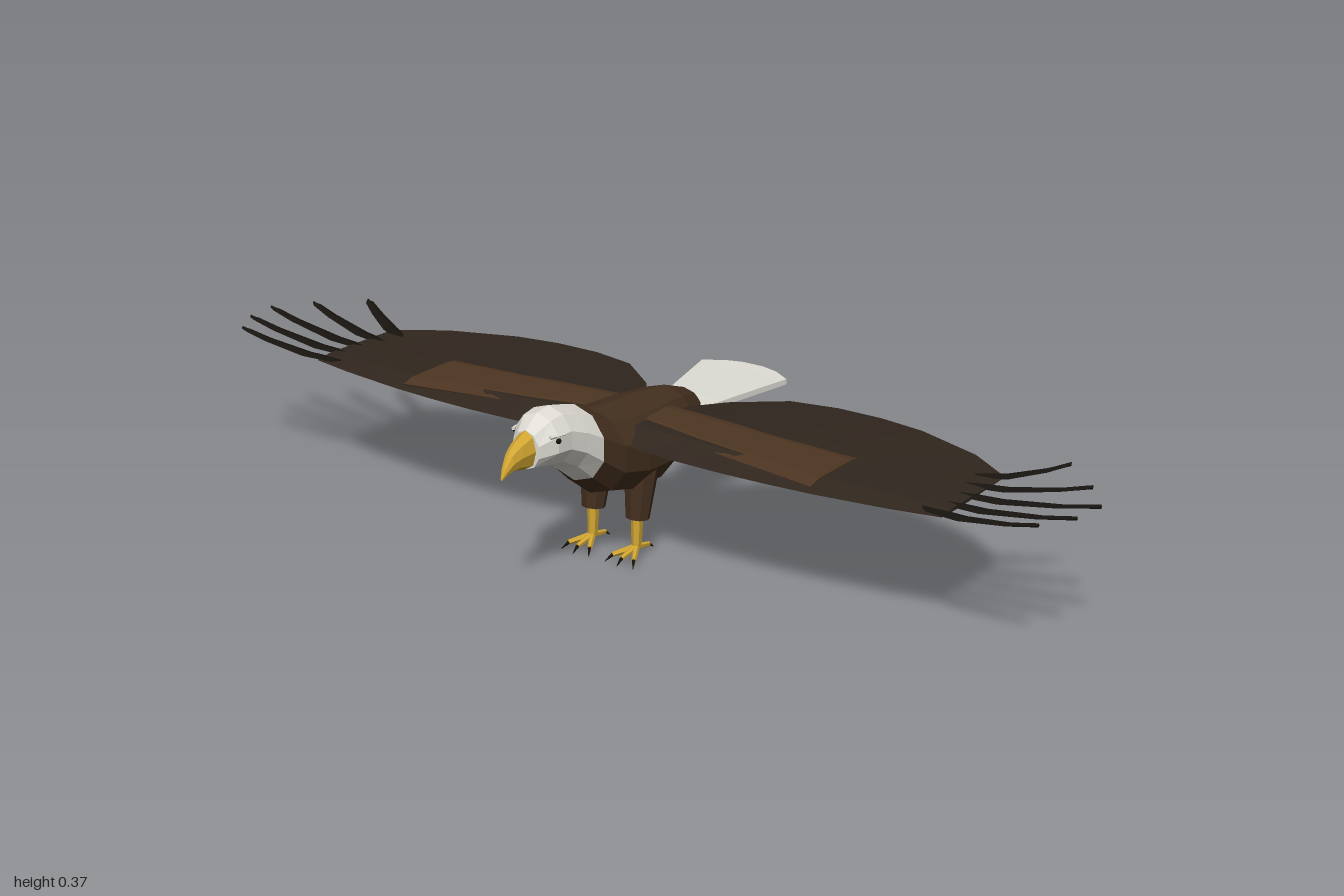
import * as THREE from 'three';

const V = (x, y, z) => new THREE.Vector3(x, y, z);
const paint = (color) => new THREE.MeshStandardMaterial({ color, flatShading: true });
const BROWN = paint(0x44301f), DARK = paint(0x30261e), COVERT = paint(0x4d3522), BLACK = paint(0x17130f);
const WHITE = paint(0xdedcd4), YELLOW = paint(0xd2a632);

// Skin a row of closed rings, cap both ends, and turn the faces outward
function loft(rings) {
  const tris = [];
  const n = rings[0].length;
  for (let i = 0; i < rings.length - 1; i++) {
    for (let j = 0; j < n; j++) {
      const k = (j + 1) % n;
      const a = rings[i][j], b = rings[i][k], c = rings[i + 1][k], d = rings[i + 1][j];
      tris.push([a, b, c], [a, c, d]);
    }
  }
  const last = rings[rings.length - 1];
  for (let j = 1; j < n - 1; j++) {
    tris.push([rings[0][0], rings[0][j + 1], rings[0][j]], [last[0], last[j], last[j + 1]]);
  }
  const o = rings[0][0];
  let volume = 0;
  for (const [a, b, c] of tris) {
    volume += a.clone().sub(o).dot(b.clone().sub(o).cross(c.clone().sub(o)));
  }
  const points = tris.flatMap(([a, b, c]) => (volume < 0 ? [a, c, b] : [a, b, c]));
  const geometry = new THREE.BufferGeometry().setFromPoints(points);
  geometry.computeVertexNormals();
  return geometry;
}

// Oval rings along z, from rows of [z, top, bottom, halfWidth]
function ovalLoft(rows, sides = 10) {
  return loft(rows.map(([z, top, bottom, w]) => Array.from({ length: sides }, (_, i) => {
    const a = (i / sides) * Math.PI * 2;
    return V(Math.sin(a) * w, (top + bottom) / 2 + Math.cos(a) * (top - bottom) / 2, z);
  })));
}

// Tapered rod between two points
function rod(a, b, r0, r1, sides = 6) {
  const dir = b.clone().sub(a);
  const g = new THREE.CylinderGeometry(r1, r0, dir.length(), sides);
  g.applyQuaternion(new THREE.Quaternion().setFromUnitVectors(V(0, 1, 0), dir.clone().normalize()));
  const mid = a.clone().add(b).multiplyScalar(0.5);
  return g.translate(mid.x, mid.y, mid.z);
}

function add(parent, name, geometry, material) {
  const mesh = new THREE.Mesh(geometry, material);
  mesh.name = name;
  parent.add(mesh);
  return mesh;
}

// Wing stations: [x, leading z, trailing z, top y, bottom y]
const STATIONS = [
  [0.04, 0.135, -0.1, 0.288, 0.242], [0.1, 0.14, -0.18, 0.286, 0.243], [0.2, 0.148, -0.26, 0.282, 0.245],
  [0.3, 0.15, -0.28, 0.279, 0.247], [0.4, 0.147, -0.28, 0.275, 0.249], [0.5, 0.14, -0.265, 0.271, 0.251],
  [0.65, 0.12, -0.21, 0.266, 0.254], [0.75, 0.1, -0.14, 0.263, 0.256],
];
// Feathers: [root z, tip x, tip z]
const FEATHERS = [
  [0.08, 0.95, 0.113], [0.035, 0.99, 0.045], [-0.015, 1.0, -0.03], [-0.065, 0.945, -0.107], [-0.115, 0.86, -0.19],
];

function buildWing(s) {
  const wing = new THREE.Group();
  wing.name = s > 0 ? 'leftWing' : 'rightWing';
  add(wing, 'wingSurface', loft(STATIONS.map(([x, lead, trail, top, bottom]) => {
    const at = (t) => lead + (trail - lead) * t;
    const mid = 0.258;
    return [
      V(s * x, mid, lead), V(s * x, top, at(0.15)), V(s * x, top, at(0.4)),
      V(s * x, mid + 0.002, trail), V(s * x, bottom, at(0.4)), V(s * x, bottom, at(0.15)),
    ];
  })), DARK);

  // Paler covert panel lying on the inner wing
  add(wing, 'covertPanel', loft([[0.06, 0.08, 0.289], [0.49, 0.128, 0.274]].map(([x, front, y]) => [
    V(s * x, y - 0.008, front), V(s * x, y, front - 0.03), V(s * x, y, -0.02),
    V(s * x, y - 0.004, -0.042), V(s * x, y - 0.012, -0.042), V(s * x, y - 0.014, front - 0.01),
  ])), COVERT);

  // Fingered flight feathers, swept upward to the tip
  for (const [z0, x1, z1] of FEATHERS) {
    const x0 = 0.7;
    const axis = V(x1 - x0, 0, z1 - z0).normalize();
    const rings = [[0, 0.013, 0], [0.35, 0.016, 0.003], [0.75, 0.012, 0.02], [0.95, 0.009, 0.033], [1, 0.003, 0.036]]
      .map(([t, w, lift]) => {
        const x = x0 + (x1 - x0) * t, z = z0 + (z1 - z0) * t, y = 0.259 + lift;
        const px = -axis.z * w, pz = axis.x * w;
        return [V(s * (x + px), y, z + pz), V(s * x, y + 0.004, z), V(s * (x - px), y, z - pz), V(s * x, y - 0.004, z)];
      });
    add(wing, 'flightFeather', loft(rings), BLACK);
  }
  return wing;
}

function buildLeg(s) {
  const leg = new THREE.Group();
  leg.name = s > 0 ? 'leftLeg' : 'rightLeg';
  const x = s * 0.054;
  add(leg, 'thigh', rod(V(x, 0.19, 0.052), V(x, 0.08, 0.066), 0.036, 0.024, 8), BROWN);
  add(leg, 'shank', rod(V(x, 0.085, 0.067), V(x, 0.018, 0.07), 0.0125, 0.01), YELLOW);
  // Three front toes and one back toe, each ending in a claw
  for (const [dx, z] of [[-0.026, 0.115], [0, 0.12], [0.026, 0.115], [0, 0.028]]) {
    const ankle = V(x, 0.02, 0.07), knuckle = V(x + dx, 0.012, z);
    const out = knuckle.clone().sub(ankle).setY(0).normalize().multiplyScalar(0.017);
    add(leg, 'toe', rod(ankle, knuckle, 0.007, 0.005), YELLOW);
    add(leg, 'claw', rod(knuckle, knuckle.clone().add(out).setY(0), 0.004, 0.0005, 5), BLACK);
  }
  return leg;
}

export function createModel() {
  const bird = new THREE.Group();
  bird.name = 'bird';

  add(bird, 'body', ovalLoft([
    [0.2, 0.347, 0.19, 0.075], [0.15, 0.325, 0.148, 0.09], [0.08, 0.317, 0.13, 0.1], [-0.01, 0.311, 0.127, 0.098],
    [-0.1, 0.3, 0.16, 0.076], [-0.17, 0.275, 0.203, 0.043], [-0.2, 0.25, 0.23, 0.018],
  ]), BROWN);
  add(bird, 'head', ovalLoft([
    [0.2, 0.347, 0.19, 0.075], [0.24, 0.358, 0.227, 0.066], [0.28, 0.368, 0.25, 0.058],
    [0.315, 0.363, 0.255, 0.054], [0.35, 0.338, 0.26, 0.032],
  ]), WHITE);
  add(bird, 'beak', ovalLoft([
    [0.335, 0.345, 0.259, 0.027], [0.36, 0.334, 0.262, 0.022], [0.38, 0.325, 0.267, 0.018],
    [0.4, 0.311, 0.268, 0.013], [0.417, 0.286, 0.263, 0.007], [0.425, 0.266, 0.26, 0.002],
  ], 8), YELLOW);

  // Fanned tail, slightly raised at the back
  add(bird, 'tail', loft([
    [-0.14, 0.052, 0.239], [-0.22, 0.068, 0.241], [-0.39, 0.106, 0.245], [-0.415, 0.065, 0.246], [-0.427, 0.025, 0.246],
  ].map(([z, w, y]) => [V(-w, y - 0.006, z), V(w, y - 0.006, z), V(w, y + 0.006, z), V(-w, y + 0.006, z)])), WHITE);

  for (const s of [1, -1]) {
    const eye = add(bird, 'eye', new THREE.SphereGeometry(0.006, 8, 6), BLACK);
    eye.position.set(s * 0.05, 0.317, 0.315);
    add(bird, 'brow', rod(V(s * 0.044, 0.327, 0.332), V(s * 0.053, 0.326, 0.298), 0.004, 0.002, 5), WHITE);
    bird.add(buildWing(s), buildLeg(s));
  }
  return bird;
}
